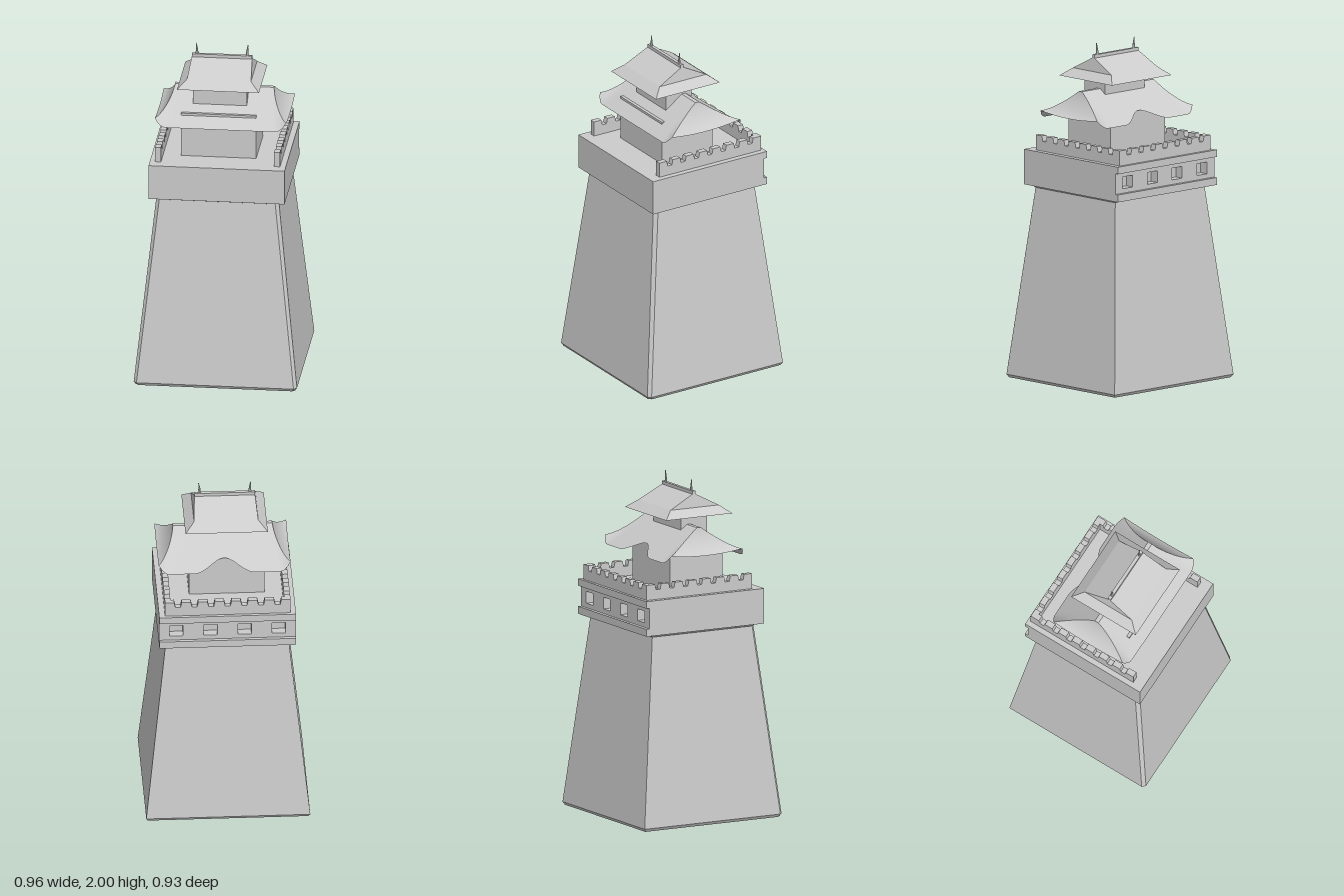
import * as THREE from 'three';

const flat = new THREE.MeshStandardMaterial({ color: 0xcccccc, flatShading: true });
const sheet = new THREE.MeshStandardMaterial({ color: 0xcccccc, side: THREE.DoubleSide });

function add(parent, name, geometry, material = flat) {
  const mesh = new THREE.Mesh(geometry, material);
  mesh.name = name;
  parent.add(mesh);
  return mesh;
}

// Box given by its limits on each axis
function box(parent, name, [x0, x1], [y0, y1], [z0, z1]) {
  const mesh = add(parent, name, new THREE.BoxGeometry(x1 - x0, y1 - y0, z1 - z0));
  mesh.position.set((x0 + x1) / 2, (y0 + y1) / 2, (z0 + z1) / 2);
  return mesh;
}

// Surface through f(i, j) = [x, y, z] for a grid of nu by nv cells
function grid(nu, nv, f) {
  const pos = [], idx = [];
  for (let j = 0; j <= nv; j++) for (let i = 0; i <= nu; i++) pos.push(...f(i, j));
  for (let j = 0; j < nv; j++) for (let i = 0; i < nu; i++) {
    const a = j * (nu + 1) + i, b = a + nu + 1;
    idx.push(a, b, a + 1, a + 1, b, b + 1);
  }
  const g = new THREE.BufferGeometry();
  g.setAttribute('position', new THREE.Float32BufferAttribute(pos, 3));
  g.setIndex(idx);
  g.computeVertexNormals();
  return g;
}

// Closed solid through stacked rings of equal point count
function loft(rings) {
  const n = rings[0].length, pos = rings.flat(2), idx = [];
  for (let r = 0; r < rings.length - 1; r++) for (let i = 0; i < n; i++) {
    const a = r * n + i, b = r * n + (i + 1) % n;
    idx.push(a, a + n, b, b, a + n, b + n);
  }
  const top = (rings.length - 1) * n;
  for (let i = 1; i < n - 1; i++) {
    idx.push(0, i, i + 1);
    idx.push(top, top + i + 1, top + i);
  }
  const g = new THREE.BufferGeometry();
  g.setAttribute('position', new THREE.Float32BufferAttribute(pos, 3));
  g.setIndex(idx);
  g.computeVertexNormals();
  return g;
}

// Wall with tapered notches along its top, running along +x from 0
function crenelWall(length, merlons) {
  const s = new THREE.Shape(), h = 0.09, low = 0.058, pitch = length / (merlons - 0.45);
  s.moveTo(0, 0);
  s.lineTo(length, 0);
  for (let i = merlons - 1; i >= 0; i--) {
    const x = i * pitch, e = x + pitch * 0.55;
    if (i < merlons - 1) s.lineTo(e + 0.007, low);
    s.lineTo(e, h);
    s.lineTo(x, h);
    if (i > 0) s.lineTo(x - 0.007, low);
  }
  return new THREE.ExtrudeGeometry(s, { depth: 0.035, bevelEnabled: false });
}

// Lower hipped roof: lifted corners, arched cut in the back eave
function lowerRoof() {
  const roof = new THREE.Group();
  roof.name = 'lowerRoof';
  const N = 48, M = 12;
  const point = (u, v, side) => {
    const bump = side < 0 && Math.abs(u) < 0.46 ? Math.cos(u / 0.46 * Math.PI / 2) ** 2 : 0;
    const w = v * (1 - 0.31 * bump);
    const t = Math.max(0, (Math.abs(u) - 0.84) / 0.16) ** 2 * w ** 3;
    return [
      u * (0.291 + 0.095 * w ** 1.4),
      1.735 - 0.18 * w + 0.047 * t,
      side * (0.0125 + 0.253 * w - 0.027 * t),
    ];
  };
  for (const side of [1, -1]) {
    add(roof, side > 0 ? 'frontSlope' : 'backSlope',
      grid(N, M, (i, j) => point((i / N * 2 - 1) * side, j / M, side)), sheet);
    // Hipped end between the two slopes, sagging in the middle
    add(roof, side > 0 ? 'leftHip' : 'rightHip', grid(M, M, (i, j) => {
      const v = j / M, s = i / M * 2 - 1;
      const [x, y, z] = point(side, v, 1);
      return [x, y - 0.018 * v * v * (1 - s * s), -s * z * side];
    }), sheet);
  }
  add(roof, 'ridgeTop', grid(1, 1, (i, j) => [i ? 0.291 : -0.291, 1.735, j ? 0.0125 : -0.0125]), sheet);
  roof.position.set(0.008, 0, 0.0125);
  return roof;
}

// Upper roof: gable above a hipped skirt, ridge beam and horn finials
function upperRoof() {
  const roof = new THREE.Group();
  roof.name = 'upperRoof';
  // Ridge, break and eave as [half width, height, half depth]
  const rows = [[0.177, 1.92, 0], [0.188, 1.836, 0.163], [0.241, 1.789, 0.223]];
  for (const s of [1, -1]) {
    for (let r = 0; r < 2; r++) {
      add(roof, 'slope', grid(1, 1, (i, j) => {
        const [x, y, z] = rows[r + j];
        return [(i ? x : -x) * s, y, z * s];
      }), sheet);
      add(roof, r ? 'skirt' : 'gable', grid(1, 1, (i, j) => {
        const [x, y, z] = rows[r + j];
        return [x * s, y, (i ? -z : z) * s];
      }), sheet);
    }
    // Horn leaning slightly outward at the tip
    const horn = new THREE.CylinderGeometry(0.002, 0.011, 0.075, 6, 4);
    const p = horn.attributes.position;
    for (let i = 0; i < p.count; i++) {
      const t = p.getY(i) / 0.075 + 0.5;
      p.setX(i, p.getX(i) + s * (0.012 * t * t - 0.008 * t));
      p.setZ(i, p.getZ(i) * 0.75);
    }
    horn.computeVertexNormals();
    add(roof, 'finial', horn).position.set(s * 0.149, 1.9625, 0);
  }
  box(roof, 'ridgeBeam', [-0.177, 0.177], [1.9, 1.934], [-0.01, 0.01]);
  roof.position.set(-0.006, 0, 0.036);
  return roof;
}

export function createModel() {
  const model = new THREE.Group();
  model.name = 'castleTower';

  // Tapered shaft with cut front corners and a flared collar
  const ring = (y, x, z, c) => [
    [x, y, -z], [-x, y, -z], [-x, y, z - c], [-x + c, y, z], [x - c, y, z], [x, y, z - c],
  ].reverse().map(([a, b, d]) => [-a, b, d]).reverse();
  const shaft = [
    ring(0, 0.469, 0.456, 0.017), ring(0.018, 0.48, 0.467, 0.018),
    ring(1.13, 0.361, 0.347, 0.02), ring(1.148, 0.38, 0.366, 0.02),
  ].map((r) => r.reverse());
  // Rings run clockwise seen from above so that walls face outward
  const area = shaft[0].reduce((s, p, i, r) => {
    const q = r[(i + 1) % r.length];
    return s + p[2] * q[0] - q[2] * p[0];
  }, 0);
  if (area > 0) shaft.forEach((r) => r.reverse());
  add(model, 'shaft', loft(shaft));

  // Gallery block with a windowed back wall between two rails
  const gallery = new THREE.Group();
  gallery.name = 'gallery';
  model.add(gallery);
  box(gallery, 'galleryBlock', [-0.4, 0.4], [1.146, 1.355], [-0.335, 0.386]);
  const wall = new THREE.Shape();
  wall.moveTo(-0.4, 1.146).lineTo(0.4, 1.146).lineTo(0.4, 1.355).lineTo(-0.4, 1.355).closePath();
  for (let i = 0; i < 4; i++) {
    const x = -0.3 + 0.2 * i, h = 0.04;
    const hole = new THREE.Path();
    hole.moveTo(x - h, 1.217).lineTo(x - h, 1.287).lineTo(x + h, 1.287).lineTo(x + h, 1.217).closePath();
    wall.holes.push(hole);
  }
  add(gallery, 'windowWall', new THREE.ExtrudeGeometry(wall, { depth: 0.053, bevelEnabled: false }))
    .position.z = -0.388;
  box(gallery, 'lowerRail', [-0.4, 0.4], [1.146, 1.19], [-0.409, -0.387]);
  box(gallery, 'upperRail', [-0.4, 0.4], [1.313, 1.355], [-0.409, -0.387]);

  // Parapet on the back and both sides, open at the front
  add(model, 'backParapet', crenelWall(0.735, 8)).position.set(-0.369, 1.355, -0.39);
  for (const x of [-0.369, 0.331]) {
    const side = add(model, 'sideParapet', crenelWall(0.705, 8));
    side.rotation.y = -Math.PI / 2;
    side.position.set(x + 0.035, 1.355, -0.385);
  }

  // Rooms and roofs
  box(model, 'lowerRoom', [-0.229, 0.213], [1.35, 1.621], [-0.15, 0.204]);
  model.add(lowerRoof());
  box(model, 'upperRoom', [-0.166, 0.151], [1.62, 1.85], [-0.042, 0.135]);
  model.add(upperRoof());
  return model;
}
